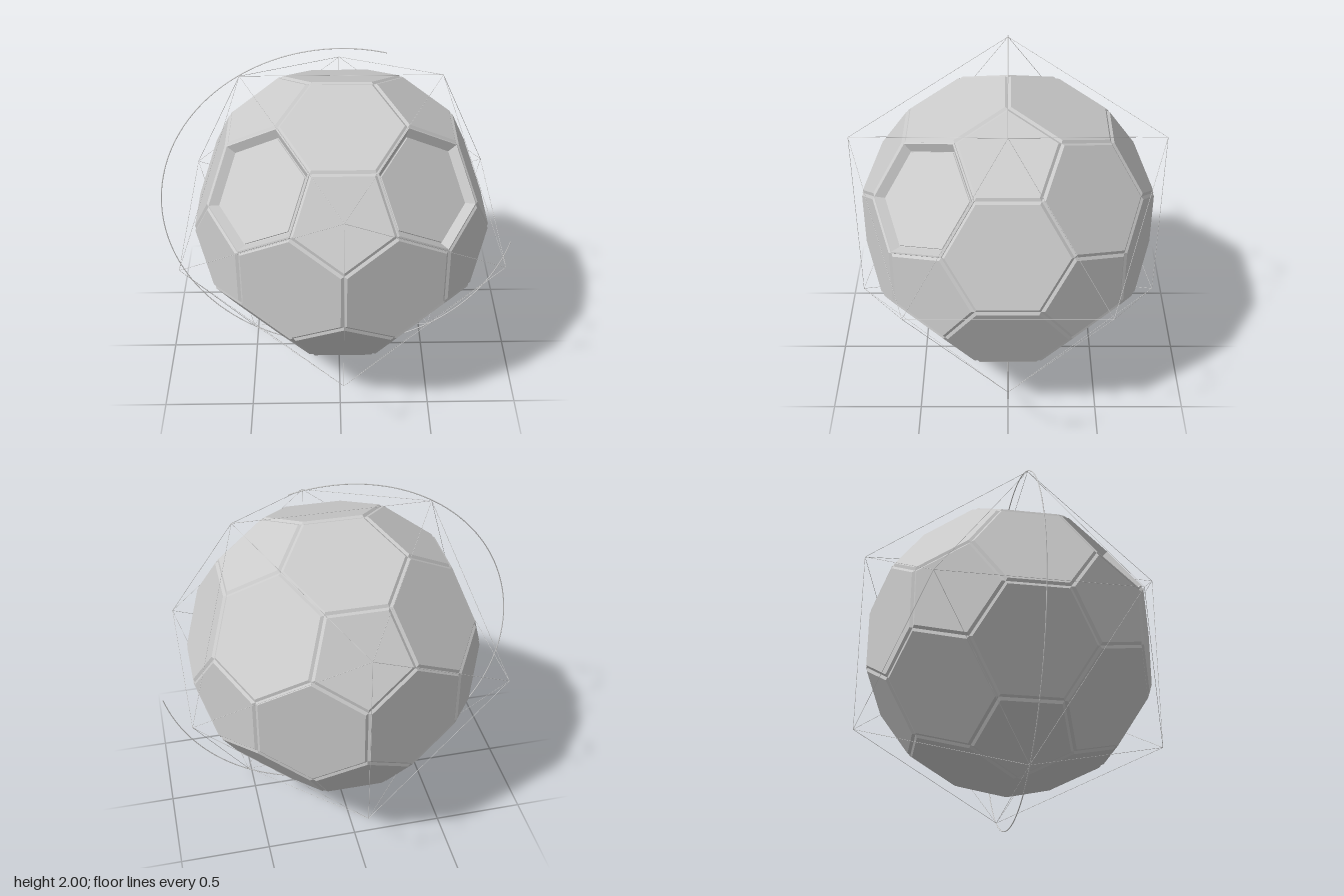
import * as THREE from 'three';

const CENTRE = new THREE.Vector3(0.0125, 1, 0);
const PHI = (1 + Math.sqrt(5)) / 2;

const grey = new THREE.MeshStandardMaterial({ color: 0xcccccc, flatShading: true, side: THREE.DoubleSide });
const smoothGrey = new THREE.MeshStandardMaterial({ color: 0xcccccc });

// Twelve icosahedron corners, scaled by s
function icosaCorners(s) {
  const list = [];
  for (const a of [-1, 1]) for (const b of [-PHI, PHI]) {
    list.push([a, b, 0], [0, a, b], [b, 0, a]);
  }
  return list.map(p => new THREE.Vector3(...p).multiplyScalar(s));
}

const isEdge = (p, q, s) => Math.abs(p.distanceTo(q) - 2 * s) < 0.01;
const third = (p, q) => p.clone().lerp(q, 1 / 3);

// Panel lofted through [inset, depth] rings, from the seam inwards, then capped
function panelGeometry(points, profile) {
  const mid = points.reduce((m, p) => m.add(p), new THREE.Vector3()).divideScalar(points.length);
  const n = mid.clone().normalize();
  const u = points[0].clone().sub(mid).normalize();
  const v = n.clone().cross(u);
  const angle = p => {
    const d = p.clone().sub(mid);
    return Math.atan2(d.dot(v), d.dot(u));
  };
  const corners = [...points].sort((a, b) => angle(a) - angle(b));
  const count = corners.length;
  const apothem = corners[0].distanceTo(mid) * Math.cos(Math.PI / count);
  const rings = profile.map(([inset, depth]) => corners.map(c =>
    mid.clone().lerp(c, 1 - inset / apothem).addScaledVector(n, -depth)));
  const tris = [];
  for (let r = 0; r < rings.length - 1; r++) {
    for (let i = 0; i < count; i++) {
      const j = (i + 1) % count;
      const [a, b, c, d] = [rings[r][i], rings[r][j], rings[r + 1][j], rings[r + 1][i]];
      tris.push(a, b, c, a, c, d);
    }
  }
  const top = rings[rings.length - 1];
  for (let i = 1; i < count - 1; i++) tris.push(top[0], top[i], top[i + 1]);
  const geo = new THREE.BufferGeometry().setFromPoints(tris);
  geo.computeVertexNormals();
  return geo;
}

export function createModel() {
  const model = new THREE.Group();
  const add = (parent, name, geo, mat) => {
    const mesh = new THREE.Mesh(geo, mat);
    mesh.name = name;
    parent.add(mesh);
    return mesh;
  };

  // Ball: bevelled pentagon and hexagon panels, two hexagons recessed
  const ball = new THREE.Group();
  ball.name = 'ball';
  ball.position.copy(CENTRE);
  model.add(ball);
  const raised = [[0, 0.022], [0.004, 0.012], [0.017, 0]];
  const recessed = [[0, 0.022], [0.003, 0.008], [0.01, 0.004], [0.042, 0.045], [0.046, 0.045], [0.048, 0.04]];
  const s = 0.497;
  const pts = icosaCorners(s);

  for (const p of pts) {
    const ring = pts.filter(q => isEdge(p, q, s)).map(q => third(p, q));
    add(ball, 'pentagonPanel', panelGeometry(ring, raised), grey);
  }
  for (let i = 0; i < 12; i++) for (let j = i + 1; j < 12; j++) for (let k = j + 1; k < 12; k++) {
    const [a, b, c] = [pts[i], pts[j], pts[k]];
    if (!isEdge(a, b, s) || !isEdge(b, c, s) || !isEdge(a, c, s)) continue;
    const ring = [third(a, b), third(b, a), third(b, c), third(c, b), third(c, a), third(a, c)];
    const m = a.clone().add(b).add(c).normalize();
    const open = m.y > 0.5 && m.y < 0.65 && m.z > 0.5 && Math.abs(m.x) > 0.5;
    add(ball, open ? 'recessedHexagon' : 'hexagonPanel', panelGeometry(ring, open ? recessed : raised), grey);
  }

  // Fine wire cage along the icosahedron edges
  const cage = new THREE.Group();
  cage.name = 'wireCage';
  cage.position.copy(CENTRE);
  model.add(cage);
  const cs = 0.522;
  const nodes = icosaCorners(cs);
  const wire = new THREE.CylinderGeometry(0.0012, 0.0012, 2 * cs, 6);
  const up = new THREE.Vector3(0, 1, 0);
  nodes.forEach((p, i) => nodes.slice(i + 1).forEach(q => {
    if (!isEdge(p, q, cs)) return;
    const mesh = add(cage, 'cageWire', wire, smoothGrey);
    mesh.position.copy(p).add(q).multiplyScalar(0.5);
    mesh.quaternion.setFromUnitVectors(up, q.clone().sub(p).normalize());
  }));

  // Three-quarter ring around the ball
  const arc = add(model, 'orbitArc', new THREE.TorusGeometry(0.997, 0.003, 8, 120, Math.PI * 1.5), smoothGrey);
  arc.position.copy(CENTRE);
  arc.rotation.z = THREE.MathUtils.degToRad(76.7);

  return model;
}
